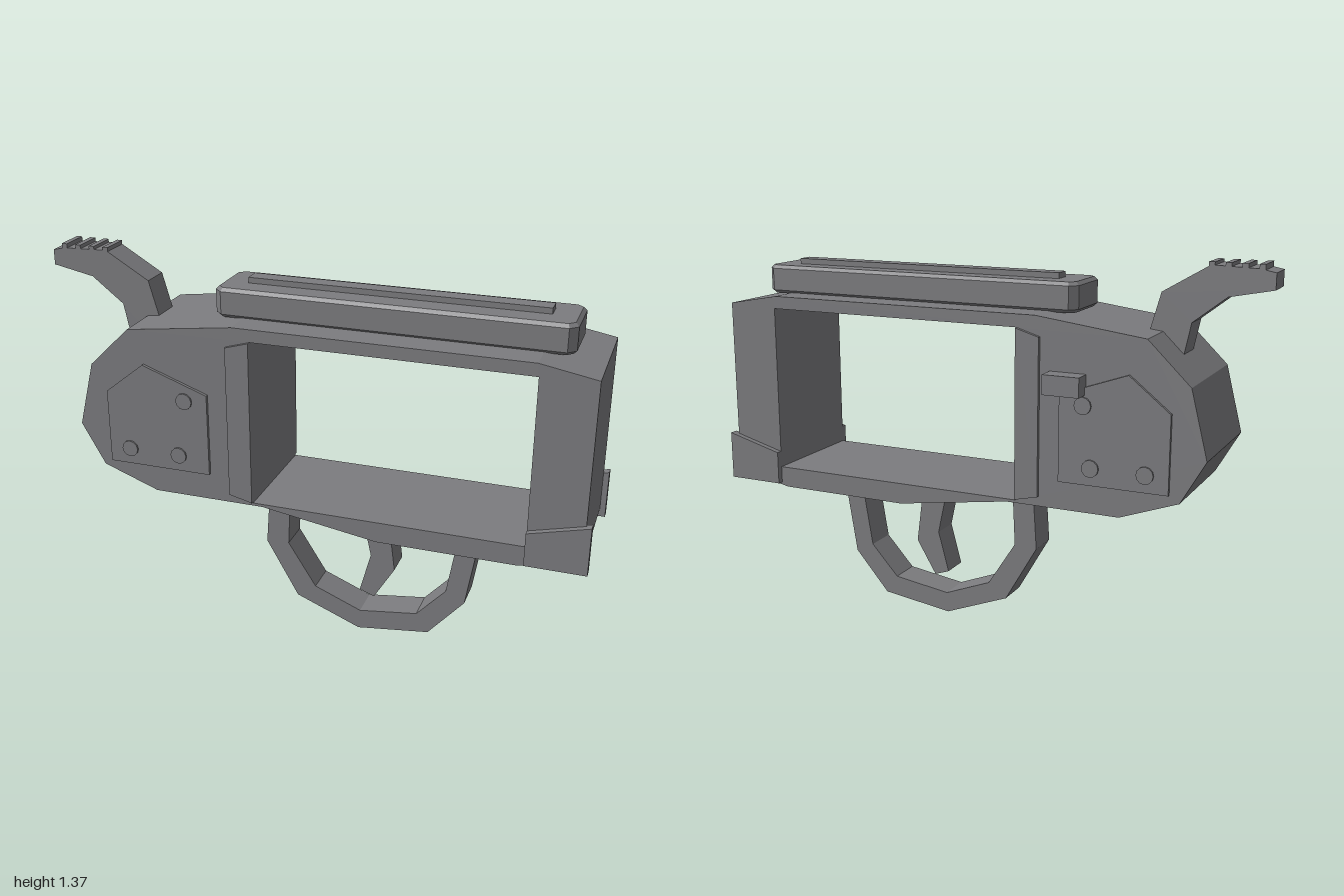
import * as THREE from 'three';

const MID = 0.02; // the body's middle plane in z

export function createModel() {
  const model = new THREE.Group();
  model.name = 'receiverFrame';
  const grey = new THREE.MeshStandardMaterial({ color: 0x7c7c7f });
  grey.name = 'gunmetalGrey';

  const add = (name, geometry) => {
    const mesh = new THREE.Mesh(geometry, grey);
    mesh.name = name;
    model.add(mesh);
    return mesh;
  };
  const outline = (points) => new THREE.Shape(points.map(([x, y]) => new THREE.Vector2(x, y)));

  // Side profile given thickness from z0 to z1
  const slab = (name, points, z0, z1, hole) => {
    const shape = outline(points);
    if (hole) shape.holes.push(new THREE.Path(hole.map(([x, y]) => new THREE.Vector2(x, y))));
    const geometry = new THREE.ExtrudeGeometry(shape, { depth: z1 - z0, bevelEnabled: false });
    return add(name, geometry.translate(0, 0, z0));
  };
  const box = (name, x0, x1, y0, y1, z0, z1) => add(name,
    new THREE.BoxGeometry(x1 - x0, y1 - y0, z1 - z0)
      .translate((x0 + x1) / 2, (y0 + y1) / 2, (z0 + z1) / 2));

  // Main frame with its rectangular opening
  slab('frame', [
    [-0.85, 0.755], [-0.765, 0.605], [-0.56, 0.53], [-0.15, 0.53], [0.27, 0.465], [0.76, 0.465],
    [0.975, 0.51], [0.975, 1.15], [0.78, 1.185], [-0.25, 1.185], [-0.64, 1.135], [-0.79, 0.99],
  ], -0.195, 0.235, [[-0.185, 0.54], [-0.185, 1.14], [0.785, 1.14], [0.785, 0.54]]);

  // Details repeated on both flanks
  for (const side of [1, -1]) {
    const label = side > 0 ? 'Front' : 'Back';
    const flank = (name, points, inner, outer) => {
      const a = MID + side * inner, b = MID + side * outer;
      return slab(name + label, points, Math.min(a, b), Math.max(a, b));
    };
    flank('sidePlate', [[-0.73, 0.63], [-0.345, 0.63], [-0.345, 0.93], [-0.585, 1.015], [-0.73, 0.9]], 0.21, 0.227);
    flank('openingStrip', [[-0.27, 0.565], [-0.185, 0.545], [-0.185, 1.14], [-0.27, 1.115]], 0.2, 0.228);
    flank('cornerGuard', [[0.785, 0.48], [0.995, 0.48], [0.995, 0.655], [0.785, 0.6]], 0.205, 0.237);
    for (const [x, y] of [[-0.65, 0.69], [-0.46, 0.69], [-0.43, 0.9]]) {
      add('rivet' + label, new THREE.CylinderGeometry(0.03, 0.03, 0.02, 12).rotateX(Math.PI / 2)
        .translate(x, y, MID + side * 0.224));
    }
  }

  // Top rail: octagonal plan with softened edges, and a thin rib
  const x0 = -0.343, x1 = 0.868, w = 0.103, c = 0.02;
  const rail = new THREE.ExtrudeGeometry(outline([
    [x0 + c, -w], [x1 - c, -w], [x1, -w + c], [x1, w - c],
    [x1 - c, w], [x0 + c, w], [x0, w - c], [x0, -w + c],
  ]), { depth: 0.08, bevelEnabled: true, bevelSegments: 1, bevelSize: 0.012, bevelThickness: 0.012 });
  add('topRail', rail.rotateX(-Math.PI / 2).translate(0, 1.193, MID));
  box('railRib', -0.26, 0.785, 1.27, 1.305, -0.015, 0.045);

  // Hammer with a ridged thumb rest
  slab('hammer', [
    [-0.7, 1.0], [-0.735, 1.17], [-0.85, 1.26], [-1, 1.29], [-1, 1.345], [-0.95, 1.355],
    [-0.79, 1.36], [-0.63, 1.265], [-0.595, 1.14], [-0.58, 1.0],
  ], -0.035, 0.075);
  for (let i = 0; i < 4; i++) {
    const x = -0.955 + i * 0.054;
    box('hammerRidge', x - 0.01, x + 0.01, 1.335, 1.37, -0.035, 0.075);
  }

  // Safety catch on the back flank
  box('safetyCatch', -0.435, -0.305, 0.935, 1.003, -0.26, -0.19);

  // Trigger and its guard
  slab('trigger', [[0.165, 0.5], [0.205, 0.315], [0.165, 0.165], [0.22, 0.145], [0.295, 0.27], [0.265, 0.5]], -0.03, 0.075);
  slab('triggerGuard', [
    [-0.18, 0.535], [-0.195, 0.31], [-0.075, 0.1], [0.165, 0.005], [0.43, 0.04], [0.56, 0.19], [0.607, 0.48],
    [0.532, 0.48], [0.49, 0.225], [0.385, 0.11], [0.17, 0.08], [-0.005, 0.15], [-0.11, 0.315], [-0.1, 0.535],
  ], -0.035, 0.085);

  return model;
}
